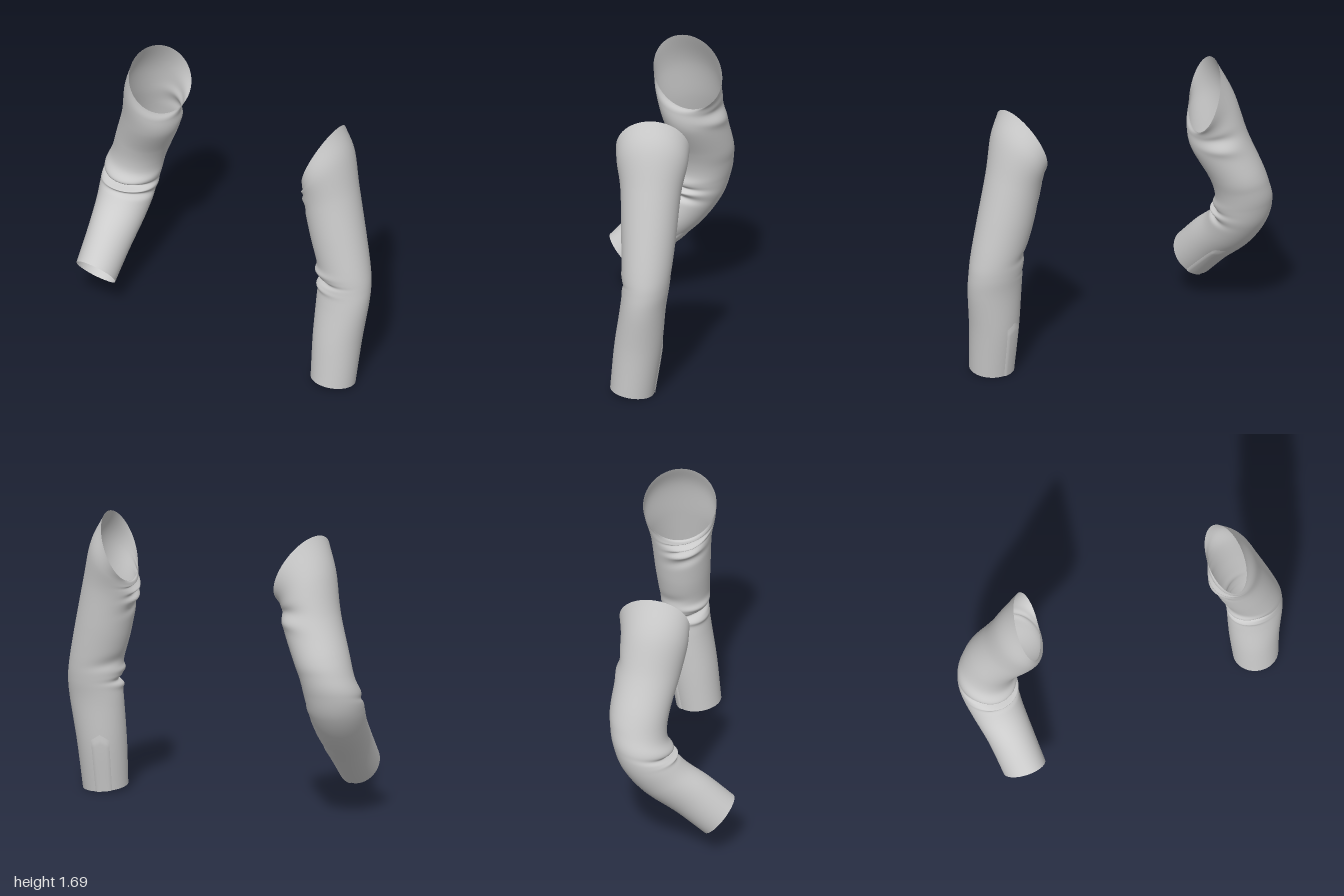
import * as THREE from 'three';

const AROUND = 96, ALONG = 180;
const rad = THREE.MathUtils.degToRad;
const material = new THREE.MeshStandardMaterial({ color: 0xcccccc, side: THREE.DoubleSide });

// Each ring, armhole to cuff: centre, half axis to the outer side, half axis to the front
const leftRings = [
  [[0.655, 1.5, -0.1], [0.08, 0.2, 0], [0.025, 0, 0.215]],
  [[0.69, 1.41, -0.1], [0.125, 0.13, 0], [0.01, 0, 0.208]],
  [[0.715, 1.25, -0.097], [0.157, 0.05, 0], [0, 0, 0.18]],
  [[0.768, 1.0, -0.093], [0.167, 0.02, 0], [0, 0, 0.163]],
  [[0.815, 0.8, -0.088], [0.165, 0, 0], [0, 0, 0.148]],
  [[0.828, 0.68, -0.083], [0.167, 0, 0], [0, 0, 0.138]],
  [[0.825, 0.55, -0.066], [0.167, 0, 0], [0, 0, 0.135]],
  [[0.81, 0.3, -0.035], [0.15, 0, 0], [0, 0.01, 0.14]],
  [[0.805, 0.025, 0], [0.135, -0.005, 0], [0, 0.018, 0.13]],
];
const rightRings = [
  [[-0.59, 1.5, -0.12], [-0.085, 0.2, 0.02], [-0.045, 0, 0.212]],
  [[-0.635, 1.38, -0.118], [-0.135, 0.12, 0], [-0.02, 0, 0.2]],
  [[-0.675, 1.2, -0.145], [-0.163, 0.05, 0], [0, 0, 0.19]],
  [[-0.76, 1.0, -0.187], [-0.16, 0.03, 0], [0, 0, 0.178]],
  [[-0.802, 0.88, -0.193], [-0.16, 0.02, 0], [0, -0.02, 0.168]],
  [[-0.828, 0.77, -0.17], [-0.17, 0.01, 0], [0, -0.02, 0.172]],
  [[-0.828, 0.67, -0.125], [-0.168, 0, 0], [0, 0.03, 0.163]],
  [[-0.812, 0.55, -0.03], [-0.153, 0, 0], [0, 0.075, 0.135]],
  [[-0.782, 0.42, 0.125], [-0.136, 0, 0], [0, 0.105, 0.1]],
  [[-0.757, 0.272, 0.28], [-0.127, -0.01, 0], [0, 0.108, 0.09]],
];

// Cloth folds: ring position, angle (0 outer, 90 front, 180 inner), depth, length, spread, slant
const leftFolds = [
  [4.35, 140, 0.018, 0.2, 45, 0.1], [4.87, 140, -0.03, 0.13, 50, 0.1], [5.25, 140, 0.012, 0.16, 45, 0],
  [1.3, 165, -0.016, 0.12, 35, 0.3], [1.55, 160, 0.014, 0.1, 30, 0.4], [1.8, 165, -0.014, 0.1, 30, 0.3],
  [2.05, 170, 0.014, 0.1, 30, 0.2], [2.3, 165, -0.012, 0.12, 35, 0.2], [4.0, 210, -0.01, 0.25, 40, 0.2],
];
const rightFolds = [
  [4.8, 100, 0.022, 0.3, 60, 0.1], [5.3, 100, -0.03, 0.17, 65, 0.1], [5.75, 120, 0.02, 0.17, 55, 0],
  [6.1, 150, -0.022, 0.17, 45, 0], [1.5, 250, -0.014, 0.2, 35, 0.3], [1.9, 245, 0.01, 0.2, 35, 0.3],
];

// Returns a rule giving the sleeve surface at ring position s and angle a
function sleeveSurface(rings, folds) {
  const curves = [0, 1, 2].map((k) => new THREE.CatmullRomCurve3(
    rings.map((r) => new THREE.Vector3(...r[k])), false, 'catmullrom', 0.5));
  const last = rings.length - 1;
  return (s, a, lift = 0) => {
    const [c, u, v] = curves.map((curve) => curve.getPoint(THREE.MathUtils.clamp(s / last, 0, 1)));
    const out = u.multiplyScalar(Math.cos(a)).addScaledVector(v, Math.sin(a));
    let push = lift;
    for (const [at, angle, depth, length, spread, slant] of folds) {
      const d = Math.atan2(Math.sin(a - rad(angle)), Math.cos(a - rad(angle)));
      const ds = (s - at - slant * d) / length, da = d / rad(spread);
      push += depth * Math.exp(-ds * ds - da * da);
    }
    return c.add(out).addScaledVector(out.clone().normalize(), push);
  };
}

// Grid of points joined into a smooth sheet; closed wraps it into a tube
function sheet(name, rows, cols, closed, flip, pointAt) {
  const positions = [], index = [], stride = closed ? cols : cols + 1;
  for (let i = 0; i <= rows; i++) {
    for (let j = 0; j < stride; j++) positions.push(...pointAt(i / rows, j / cols).toArray());
  }
  for (let i = 0; i < rows; i++) {
    for (let j = 0; j < cols; j++) {
      const k = (j + 1) % stride;
      const a = i * stride + j, b = i * stride + k, c = a + stride, d = b + stride;
      if (flip) index.push(a, c, b, b, c, d);
      else index.push(a, b, c, b, d, c);
    }
  }
  const geometry = new THREE.BufferGeometry();
  geometry.setAttribute('position', new THREE.Float32BufferAttribute(positions, 3));
  geometry.setIndex(index);
  geometry.computeVertexNormals();
  const mesh = new THREE.Mesh(geometry, material);
  mesh.name = name;
  return mesh;
}

function makeSleeve(side, rings, folds, placketLength, flip) {
  const group = new THREE.Group();
  group.name = side + 'Sleeve';
  const surface = sleeveSurface(rings, folds);
  const last = rings.length - 1;
  group.add(sheet(side + 'SleeveCloth', ALONG, AROUND, true, flip,
    (t, w) => surface(t * last, w * Math.PI * 2)));
  // Overlapping cuff placket with a pointed upper end
  group.add(sheet(side + 'CuffPlacket', 30, 10, false, flip, (t, w) => {
    const top = last - placketLength + 0.25 * Math.abs(w - 0.5);
    const edge = Math.min(1, (1 - Math.abs(2 * w - 1)) * 5, t * 8);
    return surface(top + (last - top) * t, rad(-135 + 42 * w), 0.001 + 0.005 * edge);
  }));
  return group;
}

export function createModel() {
  const model = new THREE.Group();
  model.name = 'sleeves';
  model.add(makeSleeve('left', leftRings, leftFolds, 1.25, true));
  model.add(makeSleeve('right', rightRings, rightFolds, 1.7, false));
  // Rest the lowest cuff edge on the ground
  const box = new THREE.Box3().setFromObject(model);
  model.position.y = -box.min.y;
  return model;
}
